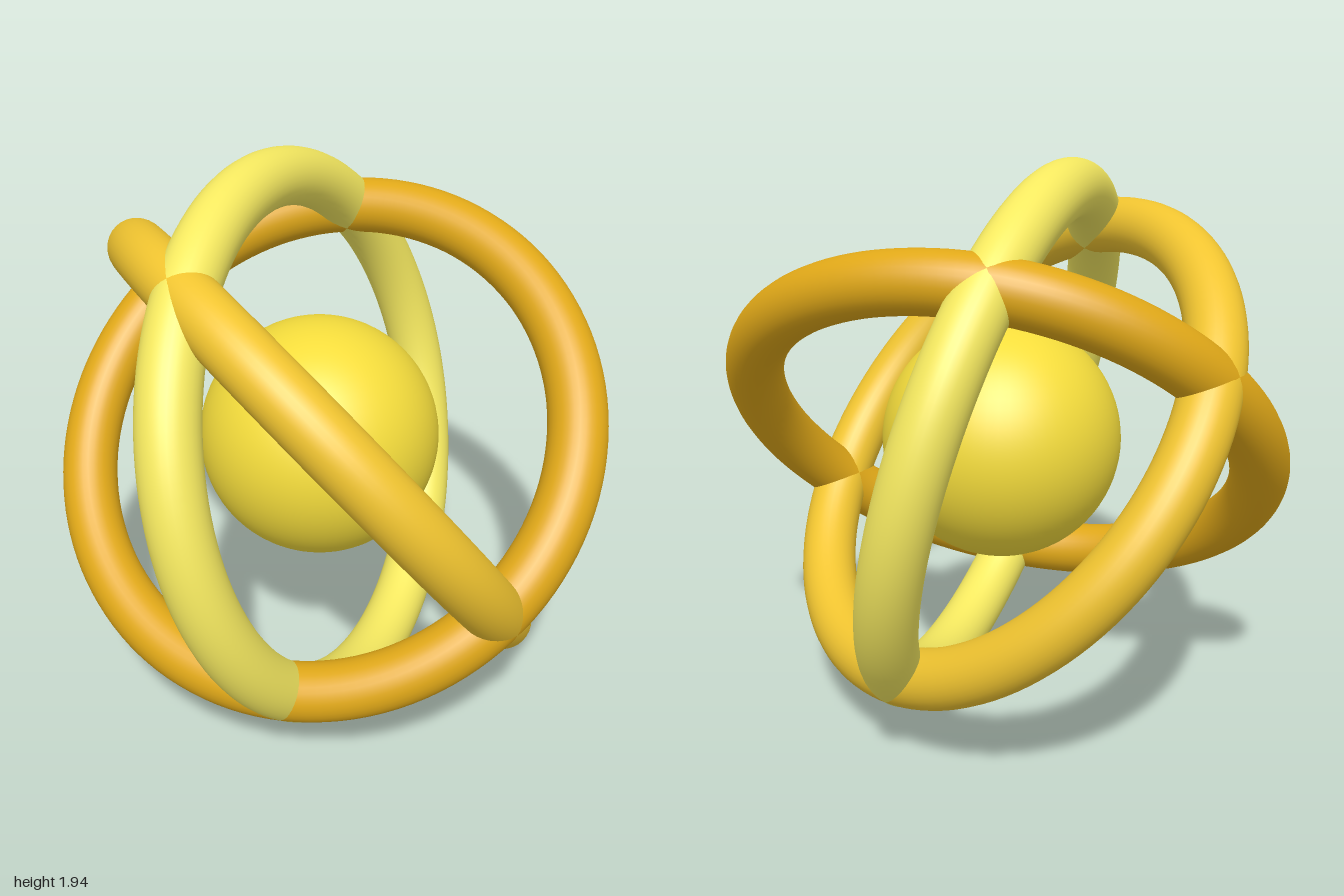
import * as THREE from 'three';

const CENTER_Y = 0.97, RING_RADIUS = 0.9, TUBE_RADIUS = 0.1, CORE_RADIUS = 0.42;
const rad = THREE.MathUtils.degToRad;

function part(name, geometry, color) {
  const mesh = new THREE.Mesh(geometry, new THREE.MeshStandardMaterial({ color }));
  mesh.name = name;
  mesh.position.y = CENTER_Y;
  return mesh;
}

// A ring whose axis points along the given direction
function ring(name, color, axis) {
  const mesh = part(name, new THREE.TorusGeometry(RING_RADIUS, TUBE_RADIUS, 32, 128), color);
  mesh.quaternion.setFromUnitVectors(new THREE.Vector3(0, 0, 1), axis.normalize());
  return mesh;
}

export function createModel() {
  const group = new THREE.Group();
  group.name = 'ringedSphere';

  // Central ball
  group.add(part('core', new THREE.SphereGeometry(CORE_RADIUS, 64, 40), 0xf5dd3c));

  // Three equal rings sharing the ball's centre, each tilted its own way
  const s = Math.cos(rad(30)) * Math.SQRT1_2;
  group.add(ring('slopingRing', 0xe0a818, new THREE.Vector3(0, 1, 1)));
  group.add(ring('uprightRing', 0xf5e960, new THREE.Vector3(Math.cos(rad(15)), Math.sin(rad(15)), 0)));
  group.add(ring('diagonalRing', 0xf0c430, new THREE.Vector3(-0.5, -s, s)));

  return group;
}
